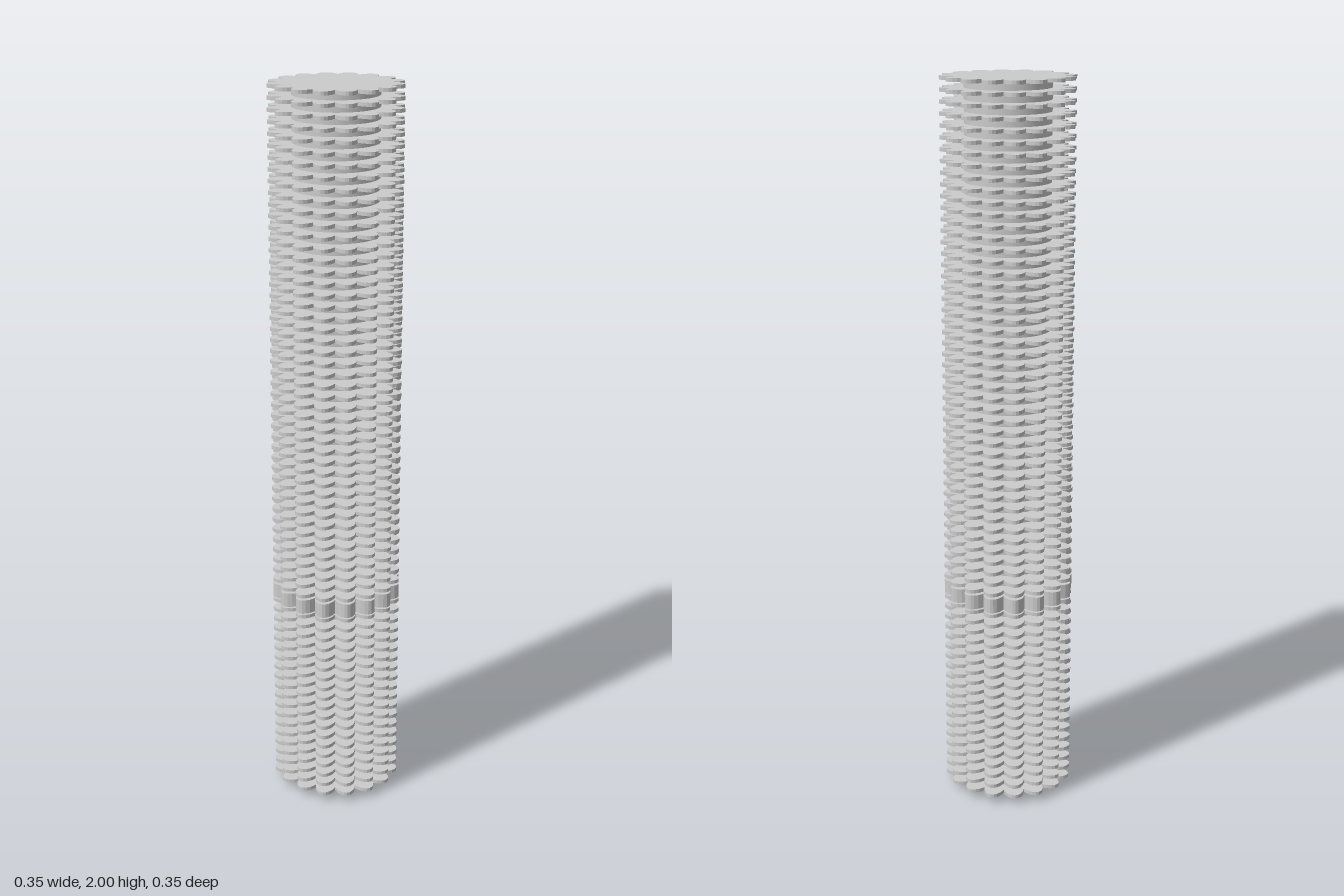
import * as THREE from 'three';

const FLOORS = 66, STEP = 2 / FLOORS, SLAB = 0.01, BAND_FLOOR = 20;
const CORE_R = 0.115, PETALS = 16, SEGMENTS = 8;

// Scalloped floor outline: sixteen rounded bays meeting in sharp notches
function floorShape(open) {
  const points = [], count = PETALS * SEGMENTS;
  for (let i = 0; i < count; i++) {
    const t = (i % SEGMENTS) / SEGMENTS;
    const r = 0.146 + 0.033 * Math.pow(Math.sin(Math.PI * t), 0.8);
    const a = (i / count) * Math.PI * 2;
    points.push(new THREE.Vector2(r * Math.cos(a), r * Math.sin(a)));
  }
  const shape = new THREE.Shape(points);
  if (open) {
    const hole = new THREE.Path();
    hole.absarc(0, 0, CORE_R - 0.001, 0, Math.PI * 2, true);
    shape.holes.push(hole);
  }
  return shape;
}

// Flat plate lying in xz, its underside at y = 0
function plate(depth, open) {
  const geometry = new THREE.ExtrudeGeometry(floorShape(open), { depth, bevelEnabled: false, curveSegments: 16 });
  return geometry.rotateX(-Math.PI / 2);
}

export function createModel() {
  const model = new THREE.Group();
  model.name = 'scallopedTower';
  const concrete = new THREE.MeshStandardMaterial({ color: 0xcccccc, side: THREE.DoubleSide });
  concrete.name = 'concrete grey';

  const add = (name, geometry, y) => {
    const mesh = new THREE.Mesh(geometry, concrete);
    mesh.name = name;
    mesh.position.y = y;
    model.add(mesh);
  };

  // Hollow central core, open at the foot
  const coreHeight = 2 - SLAB / 2;
  add('core', new THREE.CylinderGeometry(CORE_R, CORE_R, coreHeight, 48, 1, true), coreHeight / 2);

  // Thin floor slabs around the core, with one deep band between the two stacks
  const slab = plate(SLAB, true);
  for (let i = 1; i < FLOORS; i++) {
    if (i === BAND_FLOOR) add('band', plate(0.04, true), 0.58);
    else add('floorSlab', slab, i * STEP - SLAB);
  }

  // Solid roof
  add('roof', plate(SLAB, false), 2 - SLAB);
  return model;
}
